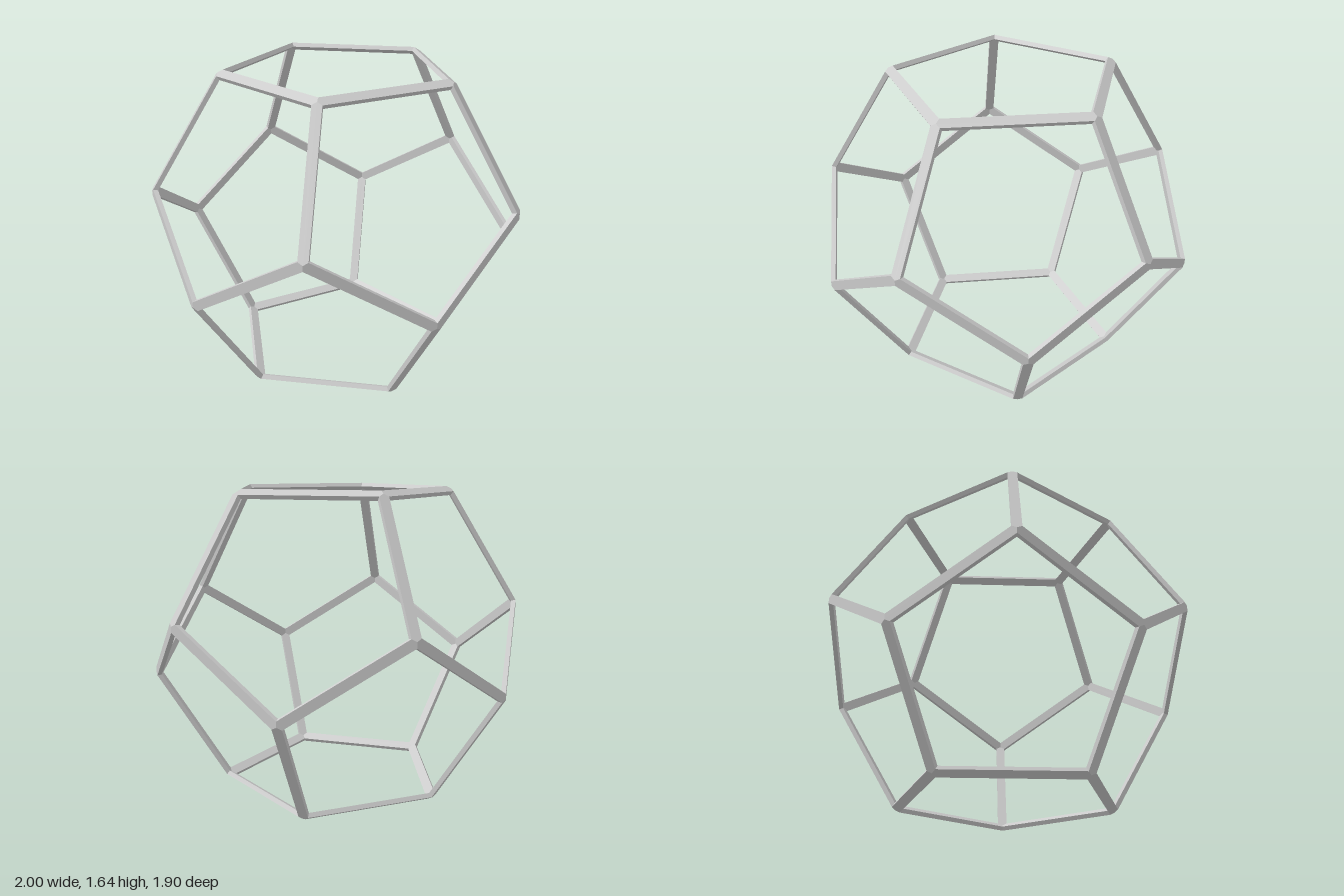
import * as THREE from 'three';

const PHI = (1 + Math.sqrt(5)) / 2;
const OUTER = 0.9514;      // distance from centre to a bar's outer face
const THICK = 0.024;       // radial thickness of a bar
const HALF_WIDTH = 0.025;
const CENTRE_Y = 0.822;

// One bar: x along its length, y outwards, z across; ends mitred so three bars meet cleanly.
function barGeometry() {
  const ring = (y) => {
    const tip = y / PHI ** 2;
    const side = (y - HALF_WIDTH * PHI) / PHI ** 2;
    const w = HALF_WIDTH;
    return [tip, y, 0, side, y, w, -side, y, w, -tip, y, 0, -side, y, -w, side, y, -w];
  };
  const index = [];
  for (let i = 1; i < 5; i++) {
    index.push(0, i + 1, i);          // outer face
    index.push(6, 6 + i, 7 + i);      // inner face
  }
  for (const [a, b, c, d] of [[8, 7, 1, 2], [11, 10, 4, 5]]) index.push(a, b, c, a, c, d); // long sides
  const geometry = new THREE.BufferGeometry();
  geometry.setAttribute('position',
    new THREE.Float32BufferAttribute([...ring(OUTER), ...ring(OUTER - THICK)], 3));
  geometry.setIndex(index);
  const flat = geometry.toNonIndexed();
  flat.computeVertexNormals();
  return flat;
}

// Corners of a dodecahedron with unit edges, resting on a face.
function corners() {
  const points = [];
  for (let k = 0; k < 5; k++) {
    const angle = Math.PI + (k * 2 * Math.PI) / 5;
    for (const [radius, y] of [[0.85065, 1.11352], [1.37638, 0.26287]]) {
      const p = new THREE.Vector3(radius * Math.cos(angle), y, radius * Math.sin(angle));
      points.push(p, p.clone().negate());
    }
  }
  return points;
}

export function createModel() {
  const frame = new THREE.Group();
  frame.name = 'dodecahedronFrame';
  const geometry = barGeometry();
  const material = new THREE.MeshStandardMaterial({ color: 0xcccccc, flatShading: true });

  // A bar along every edge
  const points = corners();
  points.forEach((a, i) => {
    points.slice(i + 1).forEach((b) => {
      if (a.distanceTo(b) > 1.1) return;
      const along = b.clone().sub(a).normalize();
      const out = a.clone().add(b).normalize();
      const across = along.clone().cross(out);
      const bar = new THREE.Mesh(geometry, material);
      bar.name = 'edgeBar';
      bar.quaternion.setFromRotationMatrix(new THREE.Matrix4().makeBasis(along, out, across));
      frame.add(bar);
    });
  });

  frame.position.y = CENTRE_Y;
  const model = new THREE.Group();
  model.name = 'openDodecahedron';
  model.add(frame);
  return model;
}
